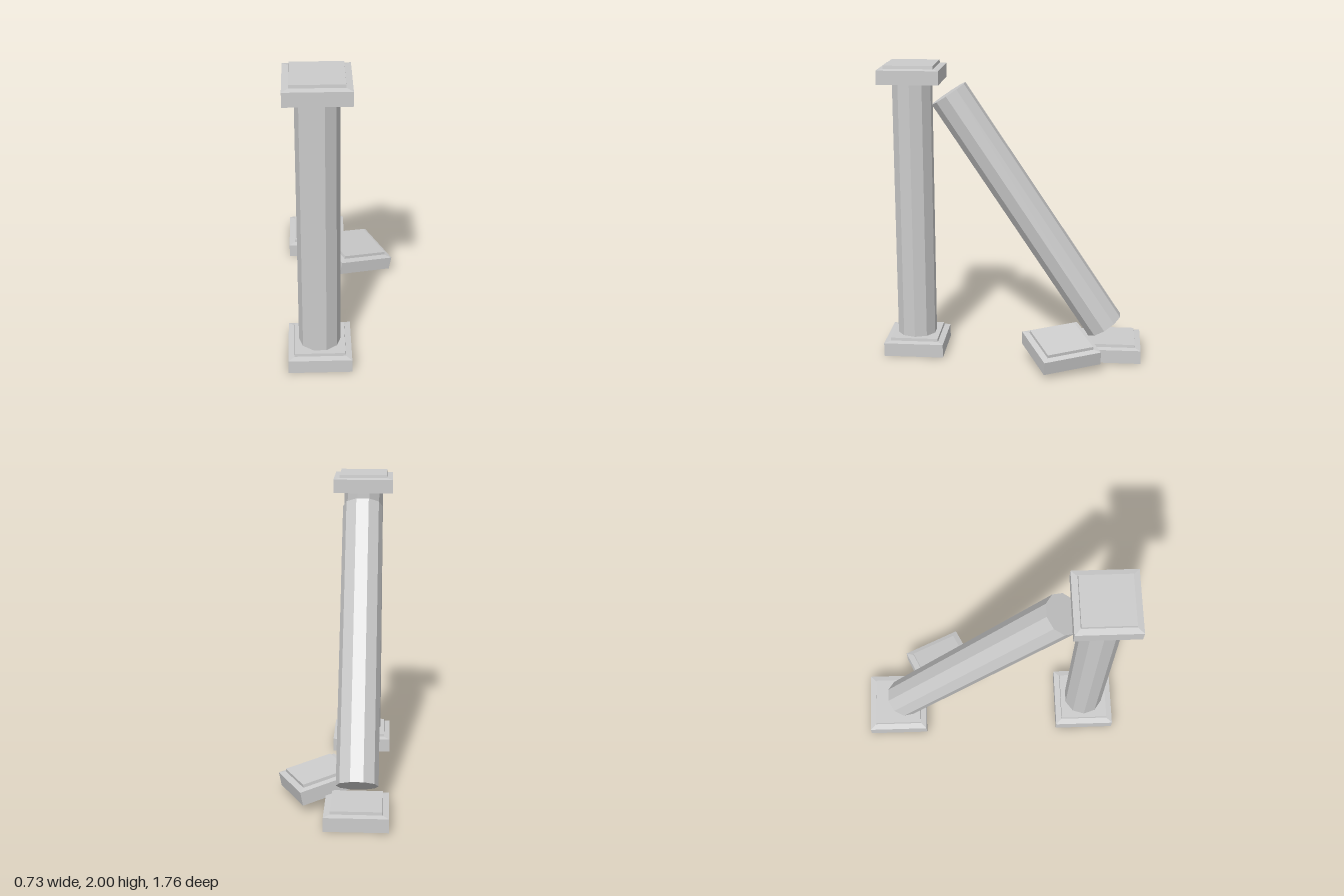
import * as THREE from 'three';

const material = new THREE.MeshStandardMaterial({ color: 0xcccccc, flatShading: true });

// Square stepped slab: block, slightly sloped shoulder, thin raised plate
function slabGeometry() {
  const profile = [[0, 0], [0.203, 0], [0.203, 0.092], [0.164, 0.099], [0.162, 0.119], [0, 0.119]];
  const points = profile.map(([half, y]) => new THREE.Vector2(half * Math.SQRT2, y));
  return new THREE.LatheGeometry(points, 4).rotateY(Math.PI / 4);
}

// Ten-sided shaft with corners on the left and right
function shaftGeometry() {
  return new THREE.CylinderGeometry(0.135, 0.135, 1.918, 10).rotateY(Math.PI / 2);
}

export function createModel() {
  const group = new THREE.Group();
  const slab = slabGeometry();
  const shaft = shaftGeometry();
  const columnX = -0.167;

  function add(name, geometry, x, y, z) {
    const mesh = new THREE.Mesh(geometry, material);
    mesh.name = name;
    mesh.position.set(x, y, z);
    group.add(mesh);
    return mesh;
  }

  // Standing column, its ends sunk into the base and the capital
  add('standingBase', slab, columnX, 0, 0.675);
  add('standingShaft', shaft, columnX, 1, 0.675);
  add('standingCapital', slab, columnX, 1.881, 0.675);

  // Broken column leaning forward against the standing one
  add('brokenBase', slab, columnX, 0, -0.675);
  add('leaningShaft', shaft, columnX, 1, -0.098).rotation.x = THREE.MathUtils.degToRad(33.6);

  // Fallen capital, tilted on the ground
  const fallen = add('fallenCapital', slab, 0.082, 0.077, -0.338);
  const side = new THREE.Vector3(0.888, -0.183, -0.422).normalize();
  const up = new THREE.Vector3(0.424, -0.044, 0.905).cross(side).normalize();
  const front = new THREE.Vector3().crossVectors(side, up);
  fallen.quaternion.setFromRotationMatrix(new THREE.Matrix4().makeBasis(side, up, front));

  return group;
}
